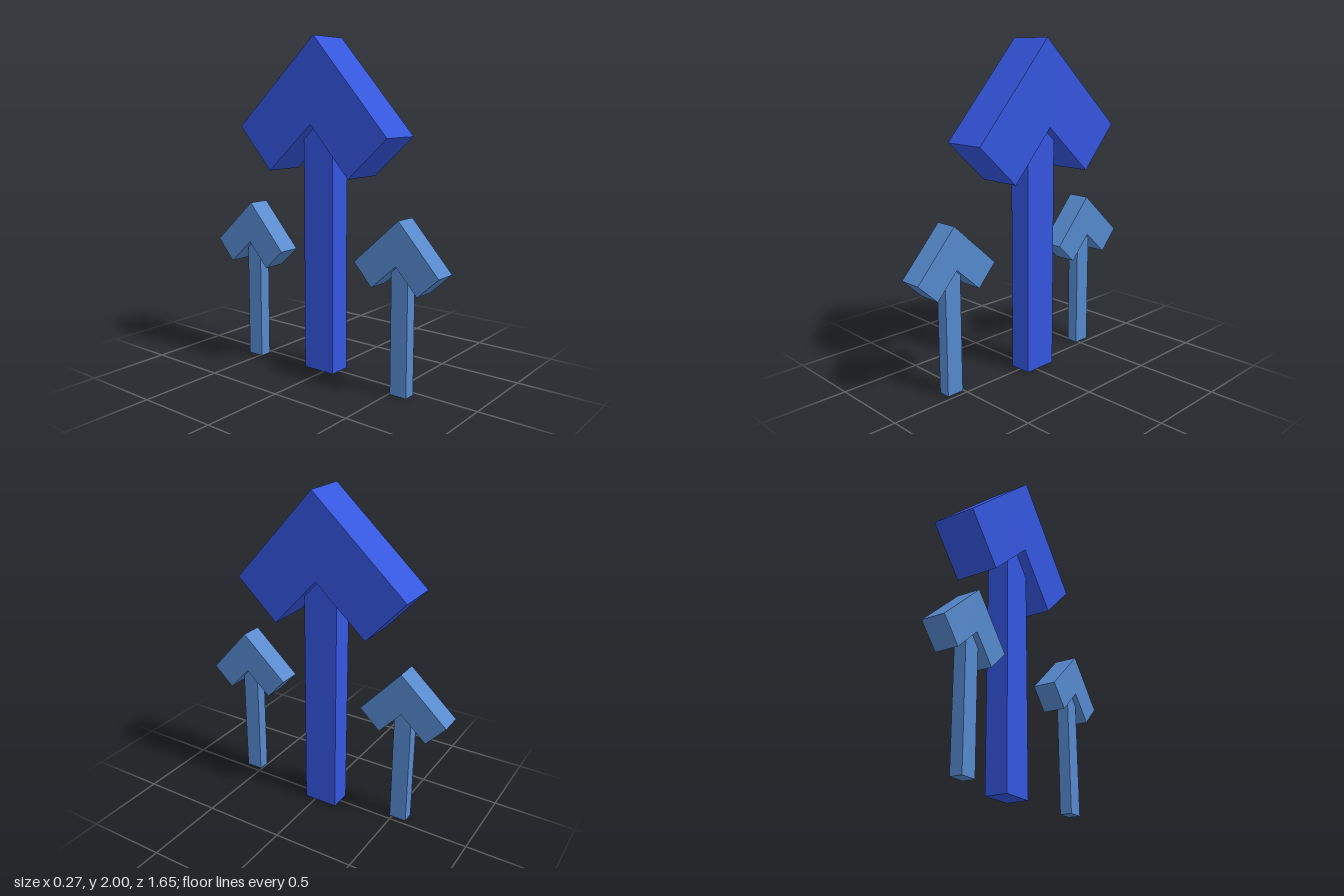
import * as THREE from 'three';

// One arrow: chevron head drawn in the (-z, y) plane, plus a square-cut shaft
function makeArrow(name, color) {
  const arrow = new THREE.Group();
  arrow.name = name;
  const material = new THREE.MeshStandardMaterial({ color, flatShading: true });

  // Head: right-angled chevron extruded along x
  const outline = [
    [0.02, 2.0], [-0.49, 1.435], [-0.23, 1.197],
    [0.045, 1.497], [0.365, 1.212], [0.605, 1.475],
  ].map(([u, y]) => new THREE.Vector2(u, y));
  const headWidth = 0.265;
  const headGeometry = new THREE.ExtrudeGeometry(new THREE.Shape(outline), {
    depth: headWidth, bevelEnabled: false,
  });
  headGeometry.translate(0, 0, -headWidth / 2);
  headGeometry.rotateY(Math.PI / 2);
  const head = new THREE.Mesh(headGeometry, material);
  head.name = 'arrowHead';

  // Shaft: runs from the ground up into the head
  const shaftHeight = 1.6;
  const shaft = new THREE.Mesh(new THREE.BoxGeometry(0.138, shaftHeight, 0.215), material);
  shaft.position.set(0, shaftHeight / 2, -0.0375);
  shaft.name = 'arrowShaft';

  arrow.add(head, shaft);
  return arrow;
}

export function createModel() {
  const model = new THREE.Group();
  model.name = 'arrows';
  model.add(makeArrow('largeArrow', 0x3355dd));

  // Half-size arrows in front of and behind the large one
  for (const [name, z] of [['frontSmallArrow', 0.58], ['backSmallArrow', -0.52]]) {
    const small = makeArrow(name, 0x5588cc);
    small.scale.set(0.53, 0.5, 0.5);
    small.position.set(-0.066, 0, z);
    model.add(small);
  }
  return model;
}
